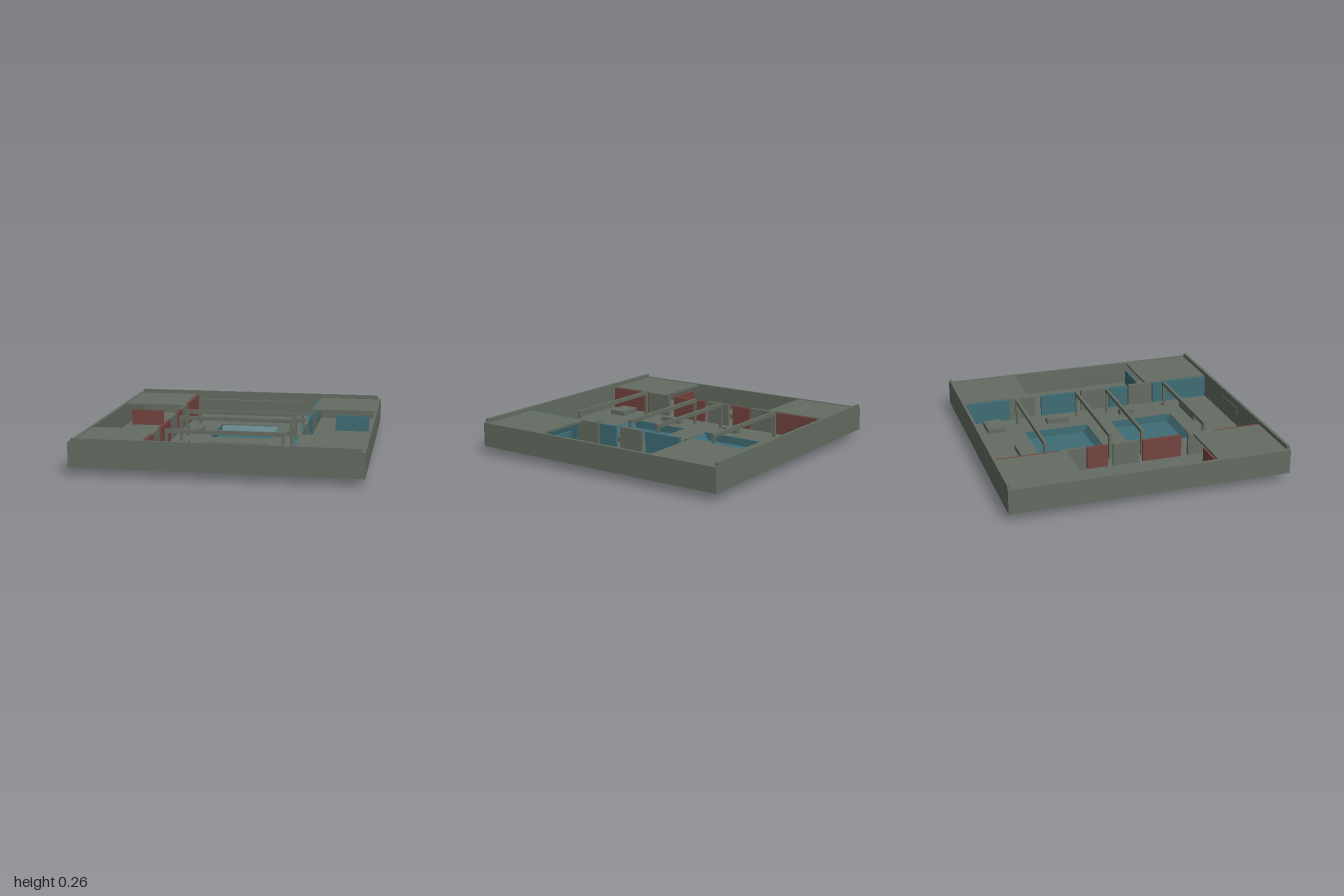
import * as THREE from 'three';

const FLOOR = 0.055, TOP = 0.23, RIM = 0.255;

export function createModel() {
  const gray = new THREE.MeshStandardMaterial({ color: 0x646c62 });
  gray.name = 'stone gray';
  const red = new THREE.MeshStandardMaterial({ color: 0x73443f });
  red.name = 'dull red';
  const teal = new THREE.MeshStandardMaterial({ color: 0x3f6d75, side: THREE.DoubleSide });
  teal.name = 'dull teal';
  const model = new THREE.Group();
  model.name = 'arena';

  // Box given by its extents
  function block(parent, name, mat, x0, x1, y0, y1, z0, z1) {
    const mesh = new THREE.Mesh(new THREE.BoxGeometry(x1 - x0, y1 - y0, z1 - z0), mat);
    mesh.position.set((x0 + x1) / 2, (y0 + y1) / 2, (z0 + z1) / 2);
    mesh.name = name;
    parent.add(mesh);
    return mesh;
  }

  // Floor with two pool openings
  const rect = (P, x0, x1, z0, z1) => {
    const p = new P();
    p.moveTo(x0, z0); p.lineTo(x1, z0); p.lineTo(x1, z1); p.lineTo(x0, z1); p.closePath();
    return p;
  };
  const shape = rect(THREE.Shape, -1, 1, -1, 1);
  shape.holes.push(rect(THREE.Path, -0.23, 0.23, 0.095, 0.58), rect(THREE.Path, -0.23, 0.23, -0.58, -0.095));
  const floorGeo = new THREE.ExtrudeGeometry(shape, { depth: 0.006, bevelEnabled: false });
  floorGeo.rotateX(-Math.PI / 2);
  const floor = new THREE.Mesh(floorGeo, gray);
  floor.position.y = FLOOR;
  floor.name = 'floor';
  model.add(floor);

  // Open pool with upright sides and sloping ends
  function addPool(parent) {
    const pool = new THREE.Group();
    pool.name = 'pool';
    const profile = [[0.58, FLOOR], [0.55, 0.004], [0.125, 0.004], [0.095, FLOOR]];
    const pos = [], index = [];
    profile.forEach(([z, y], i) => {
      pos.push(-0.23, y, z, 0.23, y, z);
      if (i > 0) {
        const a = (i - 1) * 2;
        index.push(a, a + 1, a + 2, a + 1, a + 3, a + 2);
      }
    });
    const geo = new THREE.BufferGeometry();
    geo.setAttribute('position', new THREE.Float32BufferAttribute(pos, 3));
    geo.setIndex(index);
    const flat = geo.toNonIndexed();
    flat.computeVertexNormals();
    const basin = new THREE.Mesh(flat, teal);
    basin.name = 'poolBasin';
    pool.add(basin);
    for (const s of [-1, 1]) block(pool, 'poolSide', teal, s * 0.23 - 0.003, s * 0.23 + 0.003, 0, FLOOR + 0.006, 0.095, 0.58);
    parent.add(pool);
  }

  // Low cover blocks as x0, x1, z0, z1
  const covers = [
    [-0.35, -0.04, -0.725, -0.70], [0.28, 0.45, -0.85, -0.72],
    [0.325, 0.375, -0.38, -0.21], [-0.37, -0.32, -0.32, -0.20], [-0.78, -0.70, -0.17, 0.015],
  ];
  // Colored gates and gray walls along the left lane line, as z0, z1
  const gates = [[-0.975, -0.53], [-0.32, -0.17], [0.09, 0.38], [0.63, 0.975]];
  const walls = [[-0.52, -0.33], [-0.13, 0.06], [0.43, 0.63]];

  // One half; the other is the same turned half round in the other team color
  function addHalf(name, paint, otherPaint) {
    const half = new THREE.Group();
    half.name = name;
    // Outer walls
    block(half, 'sideWall', gray, -1, -0.977, FLOOR, TOP, -1, 1);
    block(half, 'endWall', gray, -0.977, 0.977, FLOOR, RIM, -1, -0.98);
    // Wall plaque
    block(half, 'endWallPlate', gray, -0.14, 0.14, 0.15, 0.20, -0.98, -0.975);
    // Corner roofs
    block(half, 'backRoof', gray, -0.977, -0.52, TOP - 0.02, TOP - 0.004, -0.98, -0.475);
    block(half, 'frontRoof', gray, -0.977, -0.52, TOP - 0.02, TOP - 0.004, 0.47, 0.98);
    // Lane walls and gates
    for (const [a, b] of walls) block(half, 'laneWall', gray, -0.522, -0.498, FLOOR, TOP - 0.004, a, b);
    for (const [a, b] of gates) block(half, 'laneGate', paint, -0.518, -0.496, FLOOR - 0.001, TOP - 0.008, a, b);
    // Room doors
    block(half, 'backRoomDoor', paint, -0.935, -0.68, FLOOR, 0.18, -0.465, -0.45);
    block(half, 'frontRoomDoor', paint, -0.935, -0.68, FLOOR, 0.18, 0.48, 0.495);
    for (const [x0, x1, z0, z1] of covers) block(half, 'coverBlock', gray, x0, x1, FLOOR, 0.098, z0, z1);
    // Beams on posts across the pool ends
    for (const z of [0.12, 0.592]) {
      block(half, 'beam', gray, -0.42, 0.42, TOP, RIM + 0.003, z - 0.01, z + 0.01);
      for (const s of [-1, 1]) block(half, 'beamPost', gray, s * 0.41 - 0.01, s * 0.41 + 0.01, FLOOR, TOP, z - 0.01, z + 0.01);
    }
    addPool(half);
    model.add(half);
    return half;
  }
  addHalf('redHalf', red);
  addHalf('tealHalf', teal).rotation.y = Math.PI;
  return model;
}
